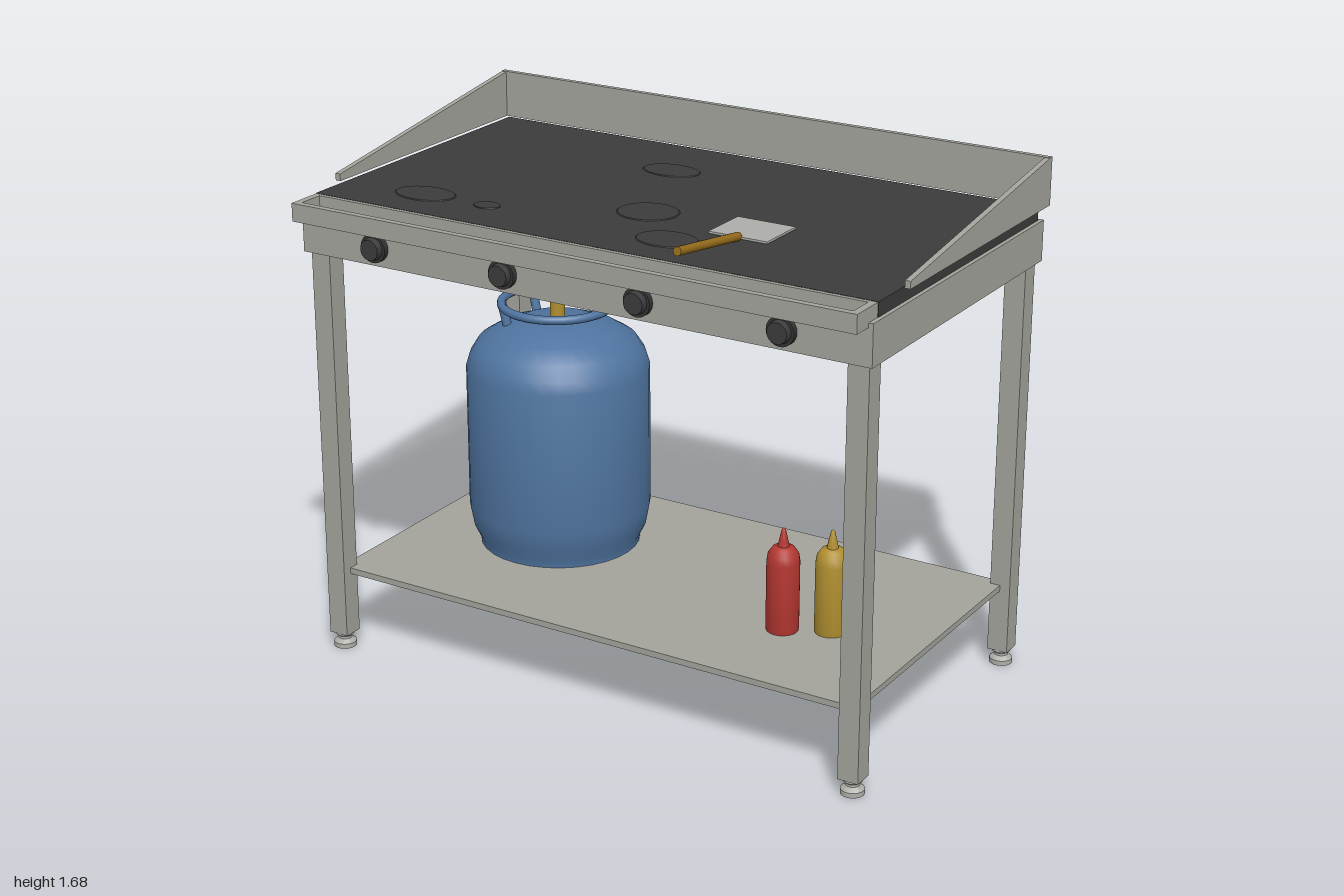
import * as THREE from 'three';
import { toCreasedNormals } from 'three/addons/utils/BufferGeometryUtils.js';

const mat = (name, color) => new THREE.MeshStandardMaterial({ name, color });

export function createModel() {
  const root = new THREE.Group();
  root.name = 'gasGriddle';

  const steel = mat('steel', 0xa3a39c);
  const paleSteel = mat('paleSteel', 0xadada8);
  const iron = mat('iron', 0x3b3b3b);
  const rubber = mat('rubber', 0x333333);
  const hoseGrey = mat('hoseGrey', 0x868684);
  const blue = mat('bluePaint', 0x4f74a0);
  const red = mat('redPlastic', 0xb23630);
  const mustard = mat('mustardPlastic', 0xb08f30);
  const wood = mat('wood', 0x966c1c);

  const add = (name, geometry, material, x = 0, y = 0, z = 0, parent = root) => {
    const mesh = new THREE.Mesh(geometry, material);
    mesh.name = name;
    mesh.position.set(x, y, z);
    parent.add(mesh);
    return mesh;
  };
  // Box given by its limits on each axis
  const box = (name, material, x0, x1, y0, y1, z0, z1) =>
    add(name, new THREE.BoxGeometry(x1 - x0, y1 - y0, z1 - z0), material,
      (x0 + x1) / 2, (y0 + y1) / 2, (z0 + z1) / 2);
  const lathe = (points, sides, crease = 0.5) => toCreasedNormals(
    new THREE.LatheGeometry(points.map(([r, y]) => new THREE.Vector2(r, y)), sides), crease);
  // Round bar between two points
  const rod = (name, material, a, b, r, parent = root) => {
    const p = new THREE.Vector3(...a), q = new THREE.Vector3(...b);
    const mid = p.clone().add(q).multiplyScalar(0.5);
    const mesh = add(name, new THREE.CylinderGeometry(r, r, p.distanceTo(q), 12), material,
      mid.x, mid.y, mid.z, parent);
    mesh.quaternion.setFromUnitVectors(new THREE.Vector3(0, 1, 0), q.sub(p).normalize());
    return mesh;
  };

  // Legs with adjustable feet
  const footShape = lathe([[0, 0], [0.037, 0], [0.037, 0.016], [0.022, 0.028], [0.022, 0.036],
    [0.03, 0.042], [0.03, 0.05], [0, 0.05]], 20);
  for (const x of [-0.935, 0.935]) {
    for (const z of [0.473, -0.538]) {
      box('leg', steel, x - 0.034, x + 0.034, 0.05, 1.35, z - 0.033, z + 0.033);
      add('foot', footShape, paleSteel, x, 0, z);
    }
  }
  box('shelf', steel, -0.935, 0.935, 0.26, 0.28, -0.538, 0.473);

  // Burner housing and hot plate
  box('burnerHousing', steel, -0.985, 0.985, 1.35, 1.48, -0.585, 0.523);
  box('hotPlate', iron, -0.972, 0.972, 1.48, 1.525, -0.57, 0.47);

  // Faint grease marks on the plate
  const marks = [[-0.17, -0.31, 0.1, 0.065], [0, 0.1, 0.1, 0.09], [-0.68, 0.3, 0.105, 0.07],
    [-0.45, 0.3, 0.045, 0.035], [0.19, 0.3, 0.1, 0.075]];
  for (const [x, z, rx, rz] of marks) {
    const mark = add('greaseMark', new THREE.CylinderGeometry(0.96, 1, 1, 24), iron, x, 1.526, z);
    mark.scale.set(rx, 0.003, rz);
  }

  // Control knobs
  for (const x of [-0.705, -0.235, 0.235, 0.705]) {
    const base = add('knobBase', new THREE.CylinderGeometry(0.045, 0.045, 0.018, 28), rubber, x, 1.41, 0.532);
    const cap = add('knob', new THREE.CylinderGeometry(0.032, 0.036, 0.02, 28), iron, x, 1.41, 0.55);
    base.rotation.x = cap.rotation.x = Math.PI / 2;
  }

  // Grease trough along the front
  box('troughFloor', steel, -0.97, 0.97, 1.466, 1.48, 0.466, 0.59);
  box('troughLining', iron, -0.947, 0.947, 1.48, 1.486, 0.484, 0.568);
  box('troughFront', steel, -0.97, 0.97, 1.48, 1.524, 0.568, 0.59);
  box('troughBack', steel, -0.97, 0.97, 1.48, 1.524, 0.47, 0.484);
  for (const s of [-1, 1]) {
    box('troughEnd', steel, s * 0.9585 - 0.0115, s * 0.9585 + 0.0115, 1.48, 1.524, 0.484, 0.568);
  }

  // Splash guard: back panel and two sloping sides
  box('splashBack', steel, -1, 1, 1.527, 1.68, -0.59, -0.572);
  const slope = new THREE.Shape([[0.572, 1.527], [0.572, 1.678], [-0.335, 1.55], [-0.335, 1.527]]
    .map(([u, v]) => new THREE.Vector2(u, v)));
  const sideShape = new THREE.ExtrudeGeometry(slope, { depth: 0.018, bevelEnabled: false });
  sideShape.rotateY(Math.PI / 2);
  for (const x of [-1, 0.982]) add('splashSide', sideShape, steel, x, 0, 0);

  // Spatula
  box('spatulaBlade', paleSteel, 0.27, 0.468, 1.53, 1.537, 0.03, 0.2);
  rod('spatulaHandle', wood, [0.368, 1.536, 0.195], [0.368, 1.584, 0.535], 0.0135);

  // Gas bottle
  const bottle = new THREE.Group();
  bottle.name = 'gasBottle';
  bottle.position.set(-0.47, 0, -0.1);
  root.add(bottle);
  add('tank', lathe([[0, 0.28], [0.262, 0.28], [0.264, 0.3], [0.285, 0.345], [0.297, 0.41],
    [0.297, 0.885], [0.285, 0.925], [0.258, 0.968], [0.2, 1.005], [0.12, 1.036], [0, 1.038]], 32, 0.6),
  blue, 0, 0, 0, bottle);
  const ring = add('carryRing', new THREE.TorusGeometry(0.18, 0.014, 10, 36), blue, 0, 1.095, 0, bottle);
  ring.rotation.x = Math.PI / 2;
  for (const z of [-0.088, 0.088]) {
    rod('ringPost', blue, [-0.138, 1.015, z * 0.95], [-0.156, 1.095, z], 0.015, bottle);
  }
  add('valve', new THREE.CylinderGeometry(0.024, 0.024, 0.09, 20), mustard, 0, 1.075, 0, bottle);
  add('regulator', new THREE.CylinderGeometry(0.039, 0.039, 0.05, 20), rubber, 0, 1.137, 0, bottle);

  // Gas hose from regulator up to the housing
  const bends = [[-0.45, 1.135, -0.1], [-0.305, 1.212, -0.102], [-0.1, 1.178, -0.235], [0.34, 1.352, -0.46]];
  for (let i = 0; i < 3; i++) {
    rod('hose', hoseGrey, bends[i], bends[i + 1], 0.011);
    add('hoseBend', new THREE.SphereGeometry(0.011, 12, 8), hoseGrey, ...bends[i + 1]);
  }

  // Sauce bottles
  const sauce = lathe([[0, 0.28], [0.05, 0.28], [0.052, 0.29], [0.052, 0.51], [0.048, 0.535],
    [0.034, 0.555], [0.018, 0.56], [0.015, 0.575], [0.006, 0.615], [0, 0.62]], 20, 0.7);
  add('redSauceBottle', sauce, red, 0.502, 0, 0.133);
  add('mustardBottle', sauce, mustard, 0.636, 0, 0.068);

  return root;
}
